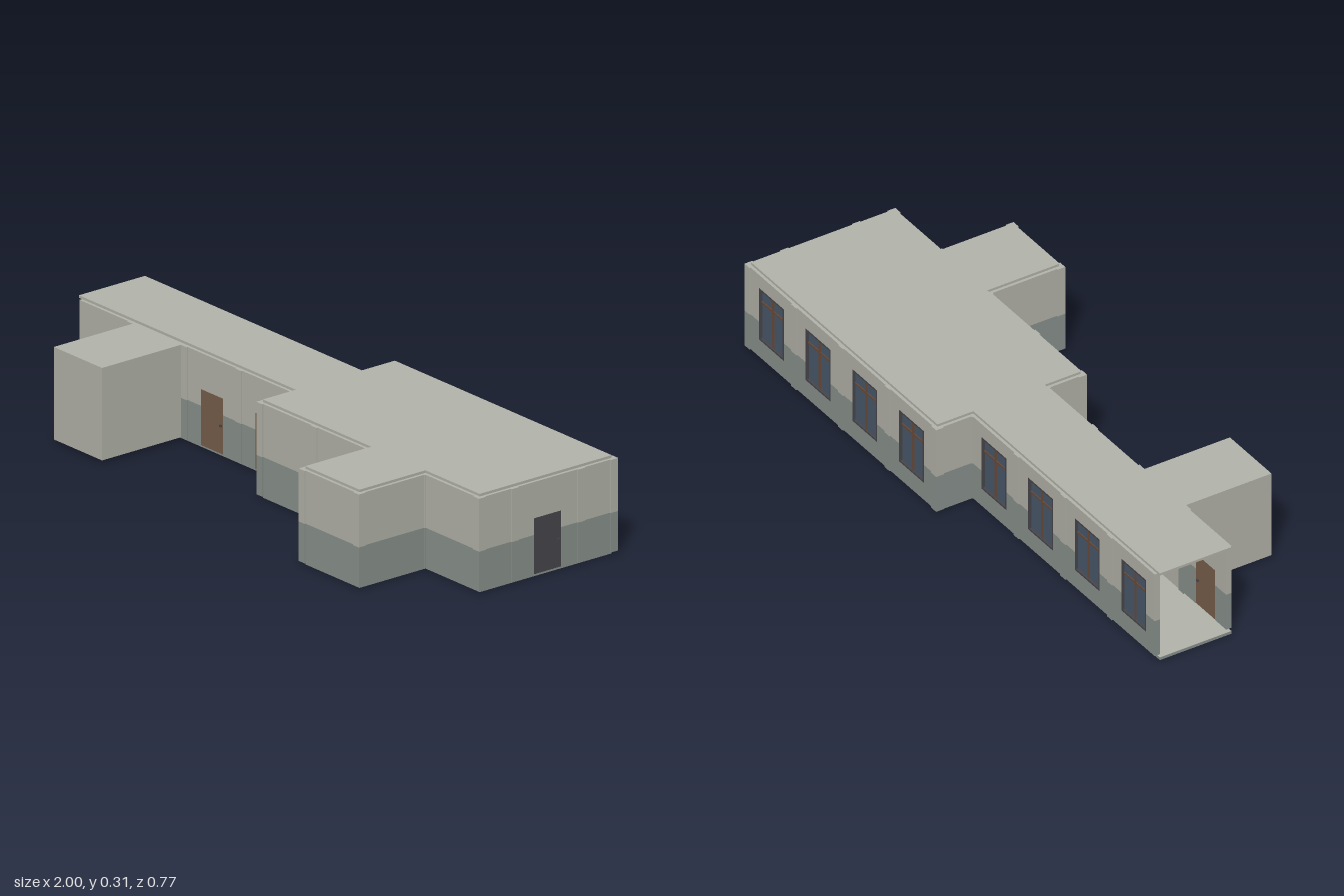
import * as THREE from 'three';

const mat = (name, color) => {
  const m = new THREE.MeshStandardMaterial({ color });
  m.name = name;
  return m;
};

const U = 0.2484;                 // grid module
const X = i => -1 + i * U;        // grid lines along x, 0..8
const Z = j => j * U / 2;         // half-module lines along z, -3..3
const FLOOR = 0.01, BAND = 0.133, TOP = 0.298;
const POST = 0.027, WALL = 0.019;

export function createModel() {
  const upper = mat('pale plaster', 0xb4b5ab);
  const lower = mat('grey green dado', 0x8a928d);
  const brown = mat('brown door', 0x785f4b);
  const dark = mat('charcoal', 0x48464b);
  const glass = mat('blue glass', 0x4a596b);
  const wood = mat('window wood', 0x6a4c3a);

  const model = new THREE.Group();
  model.name = 'building';

  // Box given by its extents in x and y, centred on z
  const box = (parent, name, material, x0, x1, y0, y1, depth, z = 0) => {
    const m = new THREE.Mesh(new THREE.BoxGeometry(x1 - x0, y1 - y0, depth), material);
    m.position.set((x0 + x1) / 2, (y0 + y1) / 2, z);
    m.name = name;
    parent.add(m);
    return m;
  };

  // Painted piece, split at the dado line
  const twoTone = (parent, name, x0, x1, y0, y1, depth) => {
    if (y0 < BAND) box(parent, name + 'Lower', lower, x0, x1, y0, Math.min(y1, BAND), depth);
    if (y1 > BAND) box(parent, name + 'Upper', upper, x0, x1, Math.max(y0, BAND), y1, depth);
  };

  // Floor and roof slabs share one outline
  const outline = [
    [0, -2], [4, -2], [4, -3], [8, -3], [8, 1], [7, 1],
    [7, 3], [6, 3], [6, 1], [4, 1], [4, 0], [0, 0],
  ].map(([i, j]) => new THREE.Vector2(X(i), -Z(j)));
  const slab = (name, material, y, height) => {
    const g = new THREE.ExtrudeGeometry(new THREE.Shape(outline), { depth: height, bevelEnabled: false });
    g.rotateX(-Math.PI / 2);
    const m = new THREE.Mesh(g, material);
    m.position.y = y;
    m.name = name;
    model.add(m);
  };
  slab('floorSlab', lower, 0, FLOOR - 0.001);
  slab('floorCovering', upper, FLOOR - 0.001, 0.001);
  slab('roofSlab', upper, TOP, 0.008);

  // Door leaf with a handle on each side
  const door = (g, material) => {
    box(g, 'doorLeaf', material, -0.051, 0.051, FLOOR, 0.185, WALL - 0.003);
    for (const s of [-1, 1]) box(g, 'doorHandle', dark, 0.036, 0.044, 0.094, 0.101, 0.006, s * 0.01);
  };

  // Window with frame, mullion and transom
  const windowUnit = g => {
    const w = 0.066, y0 = 0.07, y1 = 0.252, t = 0.006;
    box(g, 'windowGlass', glass, -w, w, y0, y1, 0.004);
    box(g, 'windowSill', dark, -w, w, y0, y0 + t, WALL);
    box(g, 'windowHead', dark, -w, w, y1 - t, y1, WALL);
    for (const s of [-1, 1]) {
      box(g, 'windowJamb', dark, s * (w - t / 2) - t / 2, s * (w - t / 2) + t / 2, y0, y1, WALL);
    }
    box(g, 'windowMullion', wood, -0.004, 0.004, y0 + t, y1 - t, 0.01);
    box(g, 'windowTransom', wood, -w + t, w - t, 0.2, 0.207, 0.01);
  };

  const openings = {
    door: { w: 0.051, y0: FLOOR, y1: 0.185, fill: g => door(g, brown) },
    darkDoor: { w: 0.051, y0: FLOOR, y1: 0.185, fill: g => door(g, dark) },
    window: { w: 0.066, y0: 0.07, y1: 0.252, fill: windowUnit },
  };

  // Wall panel between two grid points, fitted between the posts
  const wall = (i0, j0, i1, j1, kind) => {
    const a = new THREE.Vector2(X(i0), Z(j0)), b = new THREE.Vector2(X(i1), Z(j1));
    const h = (a.distanceTo(b) - POST) / 2;
    const g = new THREE.Group();
    g.name = kind ? kind + 'Wall' : 'plainWall';
    g.position.set((a.x + b.x) / 2, 0, (a.y + b.y) / 2);
    g.rotation.y = -Math.atan2(b.y - a.y, b.x - a.x);
    const o = openings[kind];
    if (o) {
      twoTone(g, 'wallStart', -h, -o.w, FLOOR, TOP, WALL);
      twoTone(g, 'wallEnd', o.w, h, FLOOR, TOP, WALL);
      if (o.y0 > FLOOR) twoTone(g, 'wallBelow', -o.w, o.w, FLOOR, o.y0, WALL);
      twoTone(g, 'wallAbove', -o.w, o.w, o.y1, TOP, WALL);
      o.fill(g);
    } else {
      twoTone(g, 'wall', -h, h, FLOOR, TOP, WALL);
    }
    model.add(g);
  };

  // Back row of windows
  for (let i = 0; i < 8; i++) {
    const j = i < 4 ? -2 : -3;
    wall(i, j, i + 1, j, 'window');
  }
  // Corridor front with doors; the annex fills the second bay
  for (const i of [0, 2, 3]) wall(i, 0, i + 1, 0, 'door');
  // Main hall front
  for (const i of [4, 5, 7]) wall(i, 1, i + 1, 1);
  // Half-width walls on both ends of the hall
  for (const i of [4, 8]) {
    wall(i, 1, i, 0);
    wall(i, -2, i, -3);
  }
  wall(8, 0, 8, -2, 'darkDoor');
  // Front bay
  wall(6, 1, 6, 3);
  wall(7, 1, 7, 3);
  wall(6, 3, 7, 3);

  // Posts at every panel joint
  const posts = [
    [1, -2], [2, -2], [3, -2], [4, -2], [4, -3], [5, -3], [6, -3], [7, -3], [8, -3],
    [8, -2], [8, 0], [8, 1], [7, 1], [7, 3], [6, 3], [6, 1], [5, 1], [4, 1], [4, 0],
    [3, 0], [2, 0], [1, 0],
  ];
  for (const [i, j] of posts) {
    const g = new THREE.Group();
    g.name = 'post';
    g.position.set(X(i), 0, Z(j));
    twoTone(g, 'post', -POST / 2, POST / 2, FLOOR, TOP, POST);
    model.add(g);
  }

  // Plain annex block on the corridor front
  box(model, 'annex', upper, X(1) + POST / 2, X(2) - POST / 2, FLOOR, TOP, 0.32, 0.15);

  return model;
}
